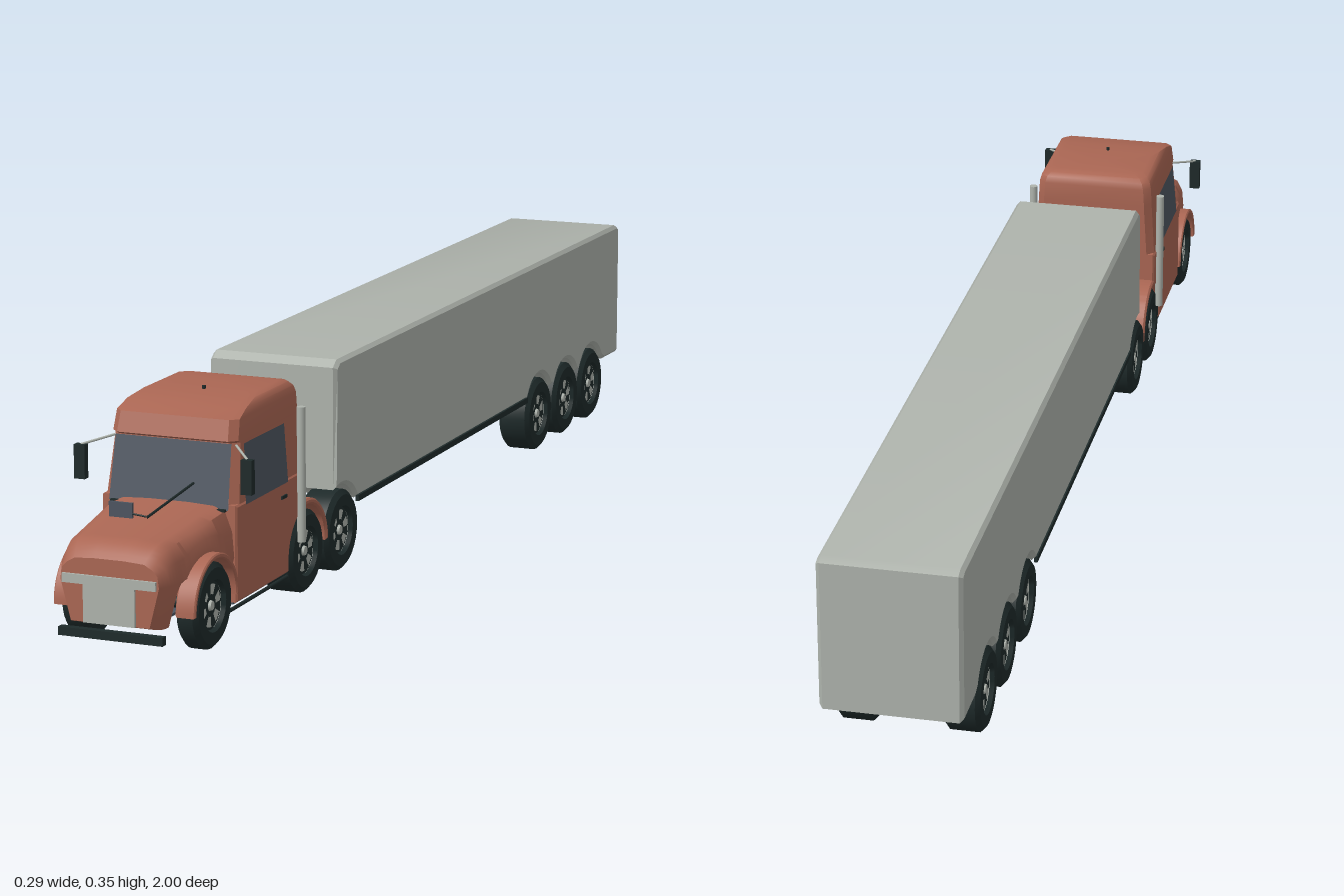
import * as THREE from 'three';
import { toCreasedNormals } from 'three/addons/utils/BufferGeometryUtils.js';

const mat = (name, color) => Object.assign(new THREE.MeshStandardMaterial({ color }), { name });
const red = mat('cab red', 0xaa6653);
const grey = mat('light grey', 0xaeb3ac);
const slate = mat('slate glass', 0x4d5560);
const dark = mat('dark rubber', 0x1e2a2a);
for (const m of [slate, grey]) m.side = THREE.DoubleSide;

const WHEEL_R = 0.066, ARCH_R = 0.074;

function add(parent, name, geo, material, x = 0, y = 0, z = 0) {
  const m = new THREE.Mesh(geo, material);
  m.name = name;
  m.position.set(x, y, z);
  parent.add(m);
  return m;
}

const box = (p, name, material, w, h, d, x, y, z) =>
  add(p, name, new THREE.BoxGeometry(w, h, d), material, x, y, z);

// Thin round bar between two points
function rod(p, name, a, b, r, material) {
  const va = new THREE.Vector3(...a), vb = new THREE.Vector3(...b);
  add(p, name, new THREE.TubeGeometry(new THREE.LineCurve3(va, vb), 1, r, 8), material);
}

// Side outline in (z, y), extruded across the full width with chamfered edges
function sideExtrude(shape, halfWidth, b) {
  const depth = 2 * (halfWidth - b);
  const g = new THREE.ExtrudeGeometry(shape, {
    depth, bevelEnabled: true, bevelThickness: b, bevelSize: b, bevelOffset: -b,
    bevelSegments: 1, curveSegments: 14,
  });
  g.translate(0, 0, -depth / 2);
  g.rotateY(-Math.PI / 2);
  return toCreasedNormals(g, 0.5);
}

// Skin over a stack of rings, each counter-clockwise seen from the last ring's end
function loft(rings, crease = 0.6) {
  const n = rings[0].length, pos = rings.flat(2), idx = [];
  for (let r = 0; r < rings.length - 1; r++) {
    for (let i = 0; i < n; i++) {
      const a = r * n + i, b = r * n + (i + 1) % n;
      idx.push(a, b, b + n, a, b + n, a + n);
    }
  }
  [0, rings.length - 1].forEach((r, end) => {
    const c = pos.length / 3;
    for (let k = 0; k < 3; k++) pos.push(rings[r].reduce((s, q) => s + q[k], 0) / n);
    for (let i = 0; i < n; i++) {
      const a = r * n + i, b = r * n + (i + 1) % n;
      if (end) idx.push(c, a, b); else idx.push(c, b, a);
    }
  });
  const g = new THREE.BufferGeometry();
  g.setAttribute('position', new THREE.Float32BufferAttribute(pos, 3));
  g.setIndex(idx);
  return toCreasedNormals(g, crease);
}

function pane(p, name, corners, material) {
  const g = new THREE.BufferGeometry();
  g.setAttribute('position', new THREE.Float32BufferAttribute(corners.flat(), 3));
  g.setIndex([0, 1, 2, 0, 2, 3]);
  g.computeVertexNormals();
  add(p, name, g, material);
}

// Tyre with a dark spoked face outside and an open light rim inside
function wheel(p, name, side, z, width) {
  const w = new THREE.Group(), h = width / 2, s = h - 0.007;
  w.name = name;
  const profile = [[0.038, -h], [0.058, -h], [WHEEL_R, -s], [WHEEL_R, s], [0.058, h], [0.04, h], [0.037, s]];
  const tyre = new THREE.LatheGeometry(profile.map(q => new THREE.Vector2(...q)), 28);
  add(w, 'tyre', toCreasedNormals(tyre, 0.5).rotateZ(-Math.PI / 2), dark);
  add(w, 'rim', new THREE.CylinderGeometry(0.038, 0.038, 2 * s, 24, 1, true).rotateZ(Math.PI / 2), grey);
  add(w, 'wheelFace', new THREE.CylinderGeometry(0.038, 0.038, 0.004, 24).rotateZ(Math.PI / 2), dark, s - 0.003);
  add(w, 'innerDisc', new THREE.RingGeometry(0.014, 0.038, 24).rotateY(-Math.PI / 2), grey, -h * 0.3);
  for (let i = 0; i < 6; i++) {
    const gap = new THREE.RingGeometry(0.017, 0.033, 4, 1, i * Math.PI / 3, 0.55);
    add(w, 'rimOpening', gap.rotateY(Math.PI / 2), grey, s);
  }
  add(w, 'hubCap', new THREE.CylinderGeometry(0.007, 0.009, 0.006, 12).rotateZ(-Math.PI / 2), grey, s);
  w.position.set(side * (0.112 - h), WHEEL_R, z);
  if (side < 0) w.rotation.y = Math.PI;
  p.add(w);
}

function buildTrailer(p) {
  const s = new THREE.Shape(), bottom = 0.105;
  const lift = Math.asin((bottom - WHEEL_R) / ARCH_R);
  s.moveTo(0.4, 0.136);
  s.lineTo(0.4, 0.335);
  s.lineTo(0.385, 0.346);
  s.lineTo(-0.985, 0.346);
  s.lineTo(-1, 0.34);
  s.lineTo(-1, 0.097);
  s.lineTo(-0.92, 0.098);
  // Wheel arches from rear to front
  for (const z of [-0.84, -0.7, -0.555]) s.absarc(z, WHEEL_R, ARCH_R, Math.PI - lift, lift, true);
  s.absarc(0.377, WHEEL_R, ARCH_R, Math.PI - lift, 1.256, true);
  add(p, 'trailerBody', sideExtrude(s, 0.11, 0.006), grey);
  for (const x of [-1, 1]) box(p, 'trailerRail', dark, 0.006, 0.01, 0.8, x * 0.109, 0.104, -0.088);
}

function buildHood(p) {
  const rings = [];
  for (let i = 0; i <= 28; i++) {
    const t = i / 28, z = 0.785 + 0.21 * t, d = z - 0.87;
    const nose = Math.max(0, (t - 0.82) / 0.18) ** 2;
    const yb = Math.abs(d) < ARCH_R ? WHEEL_R + Math.sqrt(ARCH_R ** 2 - d * d) : 0.05 + 0.008 * nose;
    const wm = 0.108 - 0.02 * t - 0.008 * nose, yt = 0.2 - 0.024 * t - 0.02 * nose;
    const ym = Math.max(0.12, yb + 0.004);
    const half = [[wm * 0.8, yb], [wm, ym], [wm * 0.97, ym + (yt - ym) * 0.5],
      [wm * 0.86, yt - 0.009], [wm * 0.7, yt - 0.002], [wm * 0.3, yt]];
    rings.push([...half, ...half.map(([x, y]) => [-x, y]).reverse()].map(([x, y]) => [x, y, z]));
  }
  add(p, 'hood', loft(rings, 0.7), red);
  box(p, 'grilleTop', grey, 0.152, 0.014, 0.005, 0, 0.123, 0.9965);
  box(p, 'grille', grey, 0.084, 0.06, 0.005, 0, 0.088, 0.9965);
  box(p, 'frontBumper', dark, 0.17, 0.013, 0.012, 0, 0.04, 0.99);
}

function buildCab(p) {
  // Lower body with the rear wheel arch
  const s = new THREE.Shape();
  s.moveTo(0.79, 0.05);
  s.lineTo(0.594, 0.05);
  s.absarc(0.52, WHEEL_R, ARCH_R, 0, Math.PI, false);
  s.absarc(0.52, WHEEL_R, 0.084, Math.PI, Math.PI / 2, true);
  s.lineTo(0.53, 0.15);
  s.lineTo(0.53, 0.2);
  s.lineTo(0.79, 0.2);
  add(p, 'cabLowerBody', sideExtrude(s, 0.112, 0.003), red);

  // Upper cab and roof: height, half width, front z, back z
  const c = 0.012;
  const rings = [
    [0.195, 0.11, 0.788, 0.53], [0.29, 0.104, 0.768, 0.53], [0.294, 0.104, 0.776, 0.53],
    [0.325, 0.102, 0.766, 0.53], [0.336, 0.099, 0.735, 0.533], [0.343, 0.093, 0.69, 0.54],
    [0.346, 0.082, 0.65, 0.555],
  ].map(([y, w, f, b]) => [[w, f - c], [w, b + c], [w - c, b], [c - w, b],
    [-w, b + c], [-w, f - c], [c - w, f], [w - c, f]].map(([x, z]) => [x, y, z]));
  add(p, 'cabUpperBody', loft(rings), red);

  pane(p, 'windshield', [[-0.099, 0.192, 0.792], [0.099, 0.192, 0.792],
    [0.096, 0.29, 0.772], [-0.096, 0.29, 0.772]], slate);
  box(p, 'wiperCowl', dark, 0.19, 0.004, 0.008, 0, 0.192, 0.793);
  box(p, 'belly', slate, 0.21, 0.004, 0.2, 0, 0.049, 0.69);
  box(p, 'bellyFront', slate, 0.1, 0.004, 0.16, 0, 0.05, 0.87);
  add(p, 'roofBeacon', new THREE.CylinderGeometry(0.003, 0.003, 0.006, 8), dark, 0, 0.347, 0.66);

  // Forward view plate on a long rod
  rod(p, 'plateRod', [0.041, 0.229, 0.79], [0.041, 0.213, 0.955], 0.002, dark);
  rod(p, 'plateArm', [0.041, 0.215, 0.953], [0.01, 0.218, 0.953], 0.0015, dark);
  box(p, 'viewPlate', slate, 0.038, 0.023, 0.004, 0, 0.222, 0.953);

  for (const x of [-1, 1]) {
    pane(p, 'sideWindow', [[x * 0.1125, 0.195, 0.757], [x * 0.1125, 0.195, 0.598],
      [x * 0.106, 0.287, 0.598], [x * 0.106, 0.287, 0.748]], slate);
    // Front fender
    const f = new THREE.Shape();
    f.absarc(0.87, WHEEL_R, 0.08, 0, Math.PI, false);
    f.absarc(0.87, WHEEL_R, ARCH_R - 0.002, Math.PI, 0, true);
    add(p, 'frontFender', sideExtrude(f, 0.016, 0.002), red, x * 0.1);
    // Exhaust stack, mirror and low step bar
    add(p, 'exhaustStack', new THREE.CylinderGeometry(0.007, 0.007, 0.215, 14), grey, x * 0.117, 0.198, 0.557);
    box(p, 'mirror', dark, 0.018, 0.053, 0.012, x * 0.138, 0.251, 0.807);
    rod(p, 'mirrorArm', [x * 0.138, 0.277, 0.807], [x * 0.101, 0.287, 0.765], 0.002, grey);
    rod(p, 'stepBar', [x * 0.104, 0.04, 0.81], [x * 0.104, 0.04, 0.585], 0.003, dark);
    box(p, 'doorHandle', dark, 0.003, 0.005, 0.02, x * 0.113, 0.175, 0.615);
  }
}

export function createModel() {
  const model = new THREE.Group();
  model.name = 'semiTruck';
  const tractor = new THREE.Group(), trailer = new THREE.Group();
  tractor.name = 'tractor';
  trailer.name = 'trailer';
  model.add(tractor, trailer);

  buildHood(tractor);
  buildCab(tractor);
  buildTrailer(trailer);

  // Chassis beams and rear cross bar
  for (const x of [-1, 1]) box(tractor, 'chassisBeam', dark, 0.012, 0.02, 0.31, x * 0.035, 0.095, 0.43);
  box(tractor, 'rearCrossBar', dark, 0.17, 0.008, 0.008, 0, 0.04, 0.27);
  box(tractor, 'couplingPlate', dark, 0.1, 0.008, 0.1, 0, 0.105, 0.42);

  // Wheels and axles
  for (const z of [0.87, 0.52, 0.377, -0.555, -0.7, -0.84]) {
    const part = z > 0 ? tractor : trailer, front = z > 0.8;
    for (const side of [-1, 1]) wheel(part, front ? 'frontWheel' : 'rearWheel', side, z, front ? 0.036 : 0.058);
    rod(part, 'axle', [-0.085, WHEEL_R, z], [0.085, WHEEL_R, z], 0.009, dark);
  }
  return model;
}
